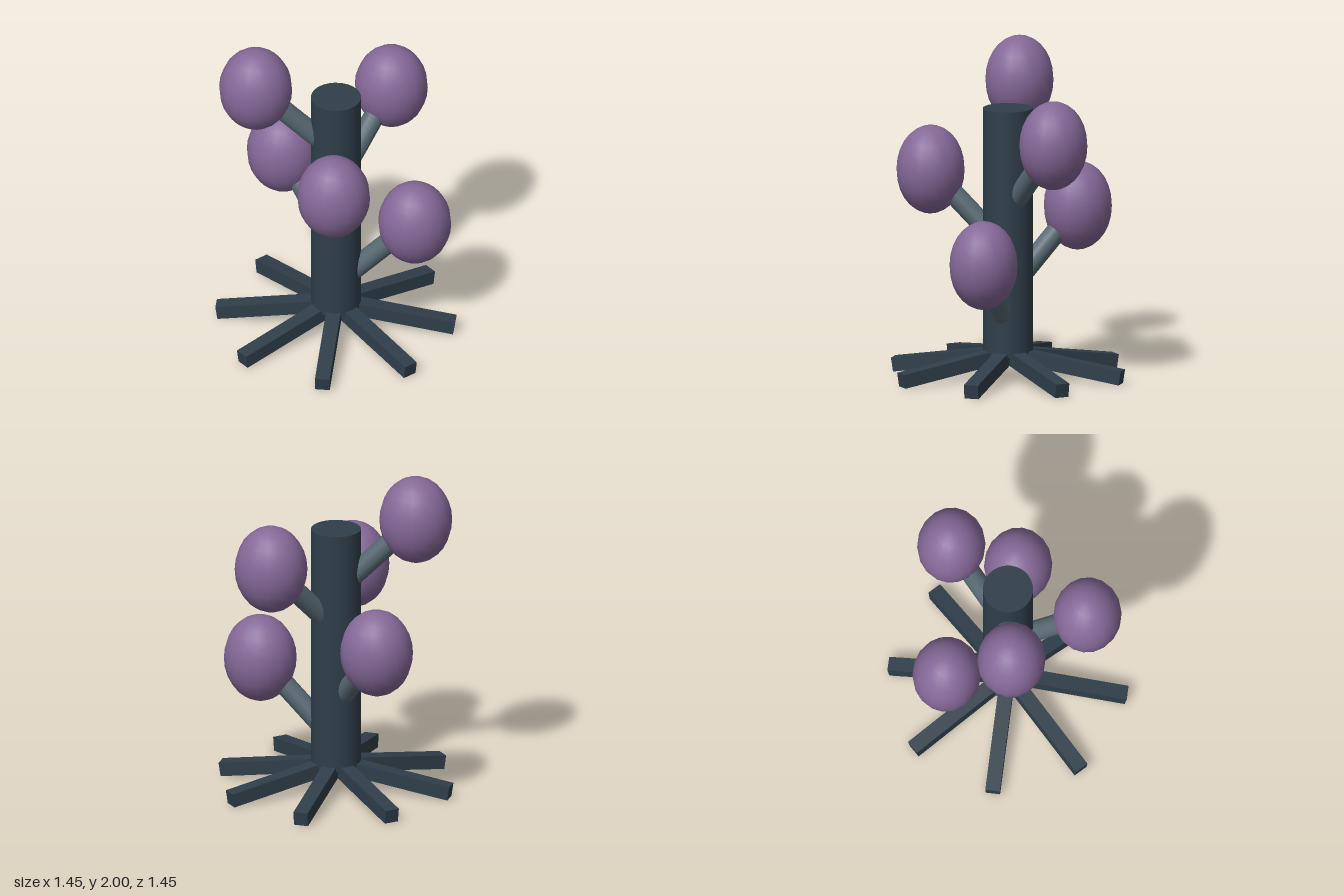
import * as THREE from 'three';

const darkMat = new THREE.MeshStandardMaterial({ color: 0x2f3e4a });
const branchMat = new THREE.MeshStandardMaterial({ color: 0x566871 });
const podMat = new THREE.MeshStandardMaterial({ color: 0x856898 });

function addMesh(parent, name, geometry, material) {
  const mesh = new THREE.Mesh(geometry, material);
  mesh.name = name;
  parent.add(mesh);
  return mesh;
}

export function createModel() {
  const model = new THREE.Group();
  model.name = 'podTree';

  // Upright trunk
  const trunk = addMesh(model, 'trunk', new THREE.CylinderGeometry(0.15, 0.15, 1.5, 32), darkMat);
  trunk.position.y = 0.9;

  // Eight sloping feet radiating from the trunk axis
  const footLength = 0.725;
  const footGeometry = new THREE.BoxGeometry(footLength, 0.085, 0.088);
  footGeometry.translate(footLength / 2, 0, 0);
  footGeometry.rotateZ(-0.15);
  for (let i = 0; i < 8; i++) {
    const foot = addMesh(model, 'foot', footGeometry, darkMat);
    foot.position.y = 0.155;
    foot.rotation.y = (i * Math.PI) / 4;
  }

  // Egg-shaped pods, each on a branch rising at 45 degrees from the trunk axis
  const podGeometry = new THREE.SphereGeometry(1, 18, 14);
  podGeometry.scale(0.22, 0.268, 0.205);
  const podCentres = [
    [0.475, 0.775, 0],
    [-0.355, 1.01, -0.325],
    [0.04, 1.255, 0.475],
    [0.29, 1.495, -0.38],
    [-0.475, 1.732, 0.082],
  ];
  const up = new THREE.Vector3(0, 1, 0);
  for (const centre of podCentres) {
    const end = new THREE.Vector3(...centre);
    const start = new THREE.Vector3(0, end.y - 0.48, 0);
    const span = end.clone().sub(start);
    const branch = addMesh(model, 'branch', new THREE.CylinderGeometry(0.063, 0.063, span.length(), 16), branchMat);
    branch.position.copy(start).addScaledVector(span, 0.5);
    branch.quaternion.setFromUnitVectors(up, span.normalize());
    addMesh(model, 'pod', podGeometry, podMat).position.copy(end);
  }

  return model;
}
